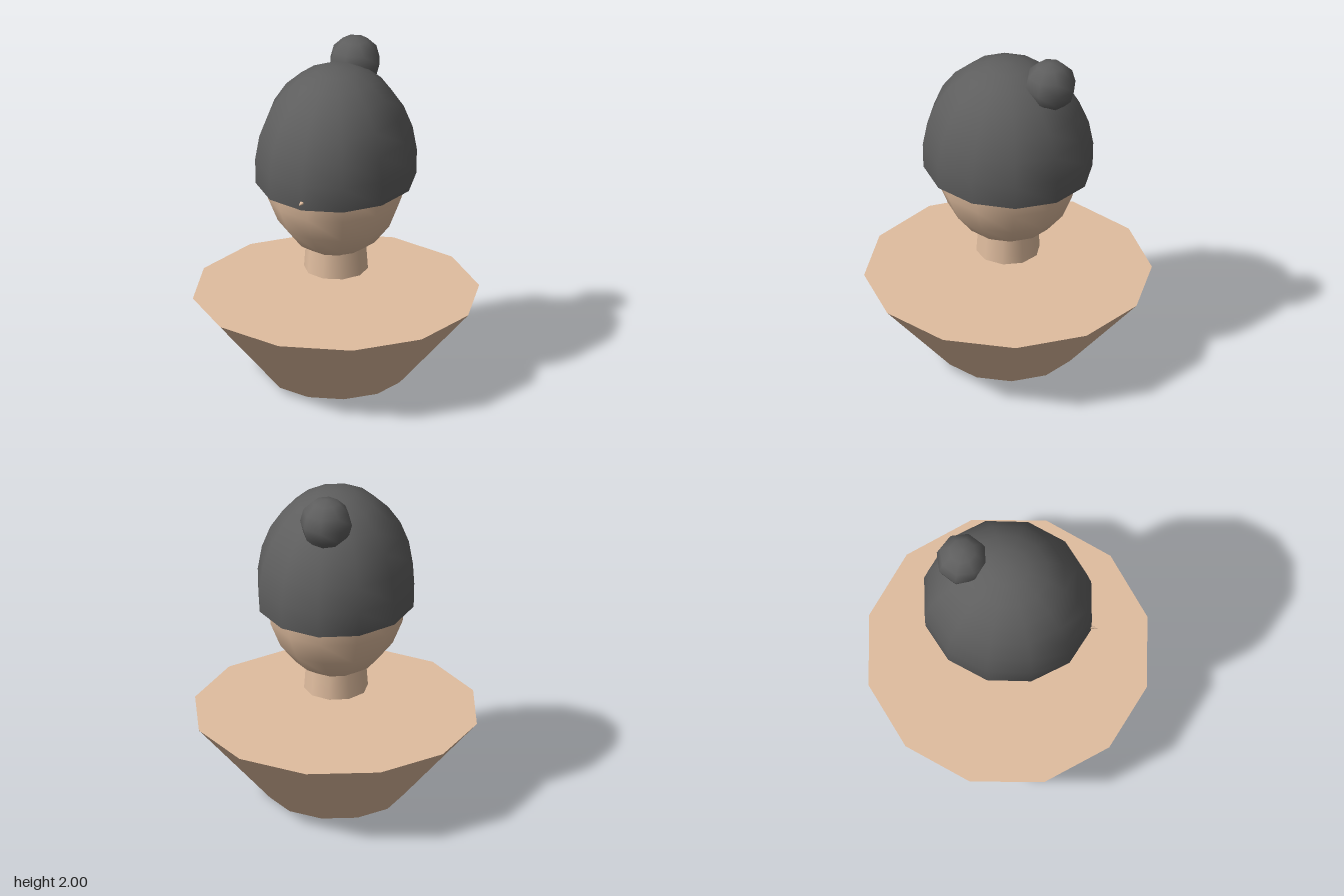
import * as THREE from 'three';

export function createModel() {
  const model = new THREE.Group();
  const skin = new THREE.MeshStandardMaterial({ color: 0xe0bd9f });
  skin.name = 'skin';
  const wool = new THREE.MeshStandardMaterial({ color: 0x5e5e5e, side: THREE.DoubleSide });
  wool.name = 'greyWool';

  function add(name, geometry, material, x, y, z) {
    const mesh = new THREE.Mesh(geometry, material);
    mesh.name = name;
    mesh.position.set(x, y, z);
    model.add(mesh);
    return mesh;
  }

  // Tapered body, wide at the top
  add('body', new THREE.CylinderGeometry(0.83, 0.4, 0.5, 12), skin, 0, 0.25, 0);

  // Neck reaching slightly into the head
  add('neck', new THREE.CylinderGeometry(0.172, 0.185, 0.18, 10), skin, 0, 0.75, 0);

  // Egg-shaped head
  add('head', new THREE.SphereGeometry(1, 12, 10), skin, 0, 1.285, 0).scale.set(0.413, 0.53, 0.433);

  // Open-bottomed knitted hat
  const cap = new THREE.SphereGeometry(1, 12, 7, 0, Math.PI * 2, 0, Math.PI * 0.55);
  add('hat', cap, wool, 0, 1.314, 0).scale.set(0.463, 0.606, 0.503);

  // Bobble at the back of the hat
  add('bobble', new THREE.SphereGeometry(0.153, 8, 6), wool, 0, 1.847, -0.273);

  // Pointed nose whose tip pokes through the hat
  const nose = new THREE.ConeGeometry(0.04, 0.14, 8).rotateX(Math.PI / 2);
  add('nose', nose, skin, 0, 1.265, 0.467);

  return model;
}
